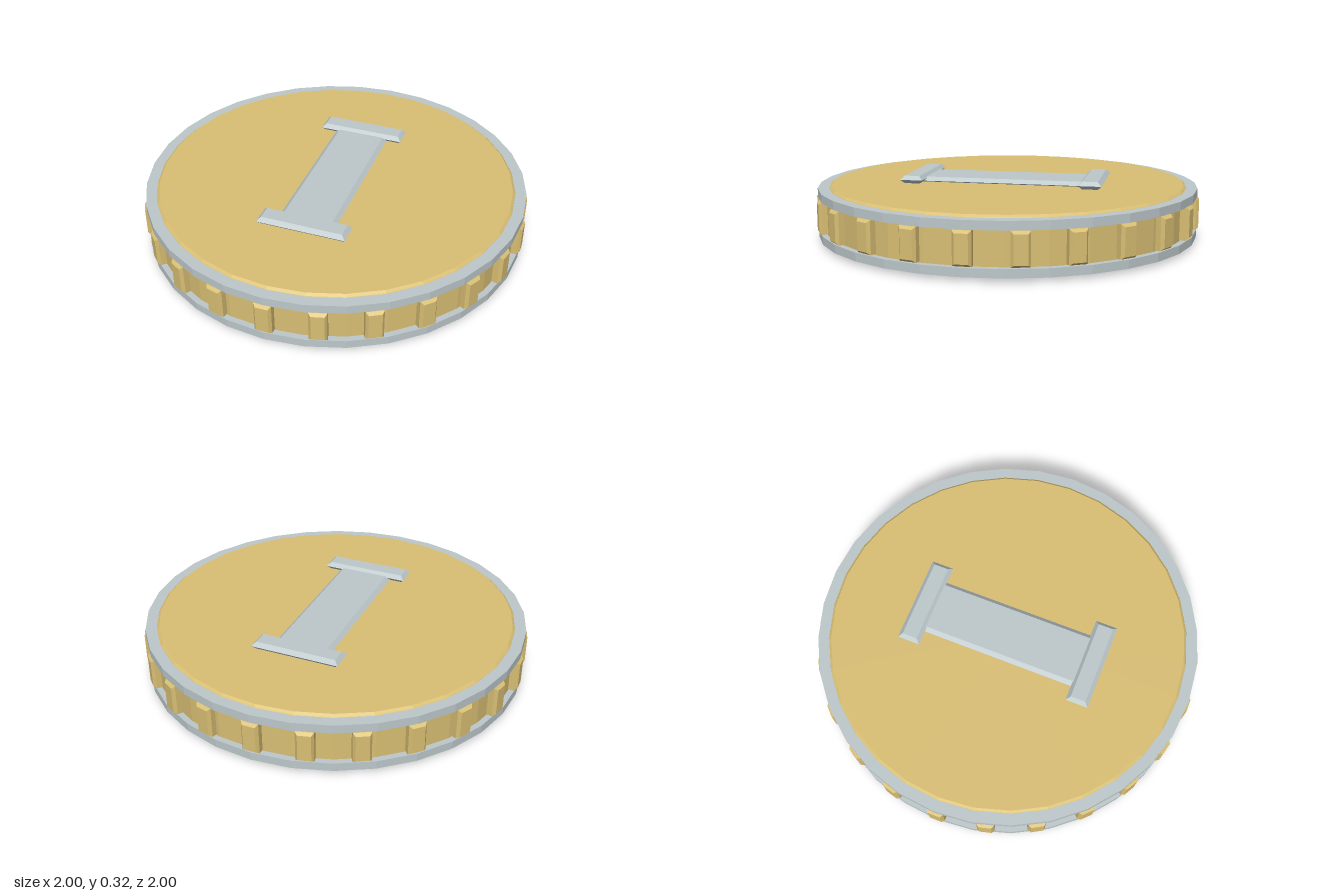
import * as THREE from 'three';

const SIDES = 32;
const RIDGES = 24;

// Give every face its own normal for a faceted look
function faceted(geometry) {
  const g = geometry.toNonIndexed();
  g.computeVertexNormals();
  return g;
}

function turned(profile) {
  const points = profile.map(([r, y]) => new THREE.Vector2(r, y));
  return faceted(new THREE.LatheGeometry(points, SIDES));
}

// Block with three levels; each level is [height, inset from full size]
function bevelledBlock(width, depth, levels) {
  const g = new THREE.BoxGeometry(width, 2, depth, 1, 2, 1);
  const p = g.attributes.position;
  for (let i = 0; i < p.count; i++) {
    const [y, inset] = levels[Math.round(p.getY(i)) + 1];
    p.setXYZ(
      i,
      Math.sign(p.getX(i)) * (width / 2 - inset),
      y,
      Math.sign(p.getZ(i)) * (depth / 2 - inset)
    );
  }
  return faceted(g);
}

export function createModel() {
  const model = new THREE.Group();
  model.name = 'coin';
  const gold = new THREE.MeshStandardMaterial({ color: 0xd9bf74 });
  gold.name = 'gold';
  const silver = new THREE.MeshStandardMaterial({ color: 0xbdc8cb });
  silver.name = 'silver';

  function add(name, geometry, material, parent = model) {
    const mesh = new THREE.Mesh(geometry, material);
    mesh.name = name;
    parent.add(mesh);
    return mesh;
  }

  // Gold body with bevelled faces and a recessed edge
  add('body', turned([
    [0, 0], [0.92, 0], [0.932, 0.02], [0.96, 0.06],
    [0.96, 0.23], [0.932, 0.275], [0.92, 0.285], [0, 0.285],
  ]), gold);

  // Silver rims around both faces
  for (const [name, low, high] of [['bottomRim', 0.018, 0.06], ['topRim', 0.23, 0.273]]) {
    add(name, turned([[0.91, low], [0.99, low], [0.99, high], [0.91, high]]), silver);
  }

  // Ridges around the edge
  const ridges = new THREE.Group();
  ridges.name = 'edgeRidges';
  model.add(ridges);
  const ridge = bevelledBlock(0.088, 0.162, [[0.94, 0], [0.985, 0], [1.0, 0.012]]);
  ridge.rotateX(Math.PI / 2);
  for (let i = 0; i < RIDGES; i++) {
    const mesh = add('ridge', ridge, gold, ridges);
    mesh.position.y = 0.146;
    mesh.rotation.y = (i / RIDGES) * Math.PI * 2;
  }

  // Raised column with a bar at each end
  const emblem = new THREE.Group();
  emblem.name = 'emblem';
  model.add(emblem);
  add('column', bevelledBlock(0.296, 0.88, [[0.275, 0.02], [0.29, 0], [0.309, 0.022]]), silver, emblem);
  const bar = bevelledBlock(0.46, 0.118, [[0.284, 0.02], [0.304, 0], [0.324, 0.02]]);
  for (const side of [-1, 1]) {
    add(side < 0 ? 'backBar' : 'frontBar', bar, silver, emblem).position.z = side * 0.463;
  }

  return model;
}
